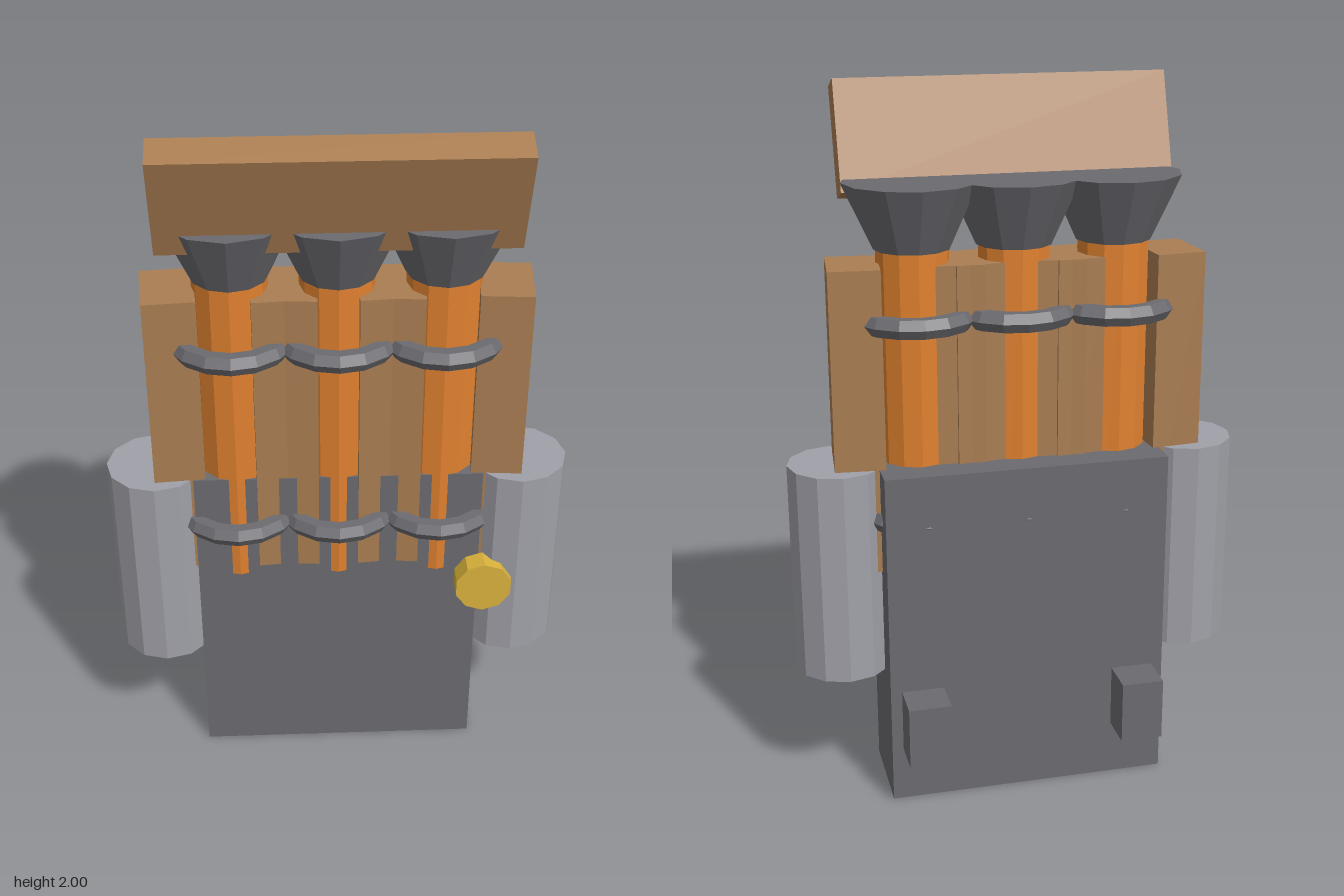
import * as THREE from 'three';

const paint = (color) => new THREE.MeshStandardMaterial({ color, flatShading: true });
const iron = paint(0x6b6b70);
const steel = paint(0xa0a0a8);
const copper = paint(0xe0812f);
const wood = paint(0xaa7d52);
const gold = paint(0xd9b23c);

const AXIS_Z = 0.034; // depth of the barrel and tank axes

export function createModel() {
  const model = new THREE.Group();
  model.name = 'tripleBarrelPack';

  const add = (name, geometry, material, x, y, z, parent = model) => {
    const mesh = new THREE.Mesh(geometry, material);
    mesh.name = name;
    mesh.position.set(x, y, z);
    parent.add(mesh);
    return mesh;
  };

  // Main casing
  add('casing', new THREE.BoxGeometry(0.8, 0.98, 0.272), iron, 0, 0.49, -0.008);

  // Three barrels, each with a flared mouth, two wooden staves and two bands
  const pipe = new THREE.CylinderGeometry(0.1, 0.1, 0.94, 12);
  const flare = new THREE.CylinderGeometry(0.187, 0.105, 0.18, 12);
  const stave = new THREE.BoxGeometry(0.14, 0.855, 0.187);
  const band = new THREE.TorusGeometry(0.15, 0.03, 6, 16).rotateX(Math.PI / 2);
  for (const x of [-0.28, 0, 0.28]) {
    const barrel = new THREE.Group();
    barrel.name = 'barrel';
    barrel.position.set(x, 0, AXIS_Z);
    model.add(barrel);
    add('pipe', pipe, copper, 0, 1.12, 0, barrel);
    add('flaredMouth', flare, iron, 0, 1.66, 0, barrel);
    for (const side of [-1, 1]) {
      add('stave', stave, wood, side * 0.163, 1.1075, 0, barrel).rotation.y = -side * 0.085;
    }
    for (const y of [0.83, 1.385]) add('band', band, iron, 0, y, 0, barrel);
  }

  // Tilted wooden flap over the mouths
  add('flap', new THREE.BoxGeometry(0.92, 0.303, 0.09), wood, 0, 1.845, 0.161).rotation.x = 0.335;

  // Side tanks and rear mounting blocks
  const tank = new THREE.CylinderGeometry(0.138, 0.138, 0.61, 12);
  const block = new THREE.BoxGeometry(0.12, 0.18, 0.12);
  for (const side of [-1, 1]) {
    add('sideTank', tank, steel, side * 0.505, 0.675, AXIS_Z);
    add('mountingBlock', block, iron, side * 0.308, 0.25, -0.195);
  }

  // Round gauge on the front
  const gauge = new THREE.CylinderGeometry(0.082, 0.082, 0.06, 10).rotateX(Math.PI / 2);
  add('gauge', gauge, gold, 0.412, 0.62, 0.158);

  return model;
}
